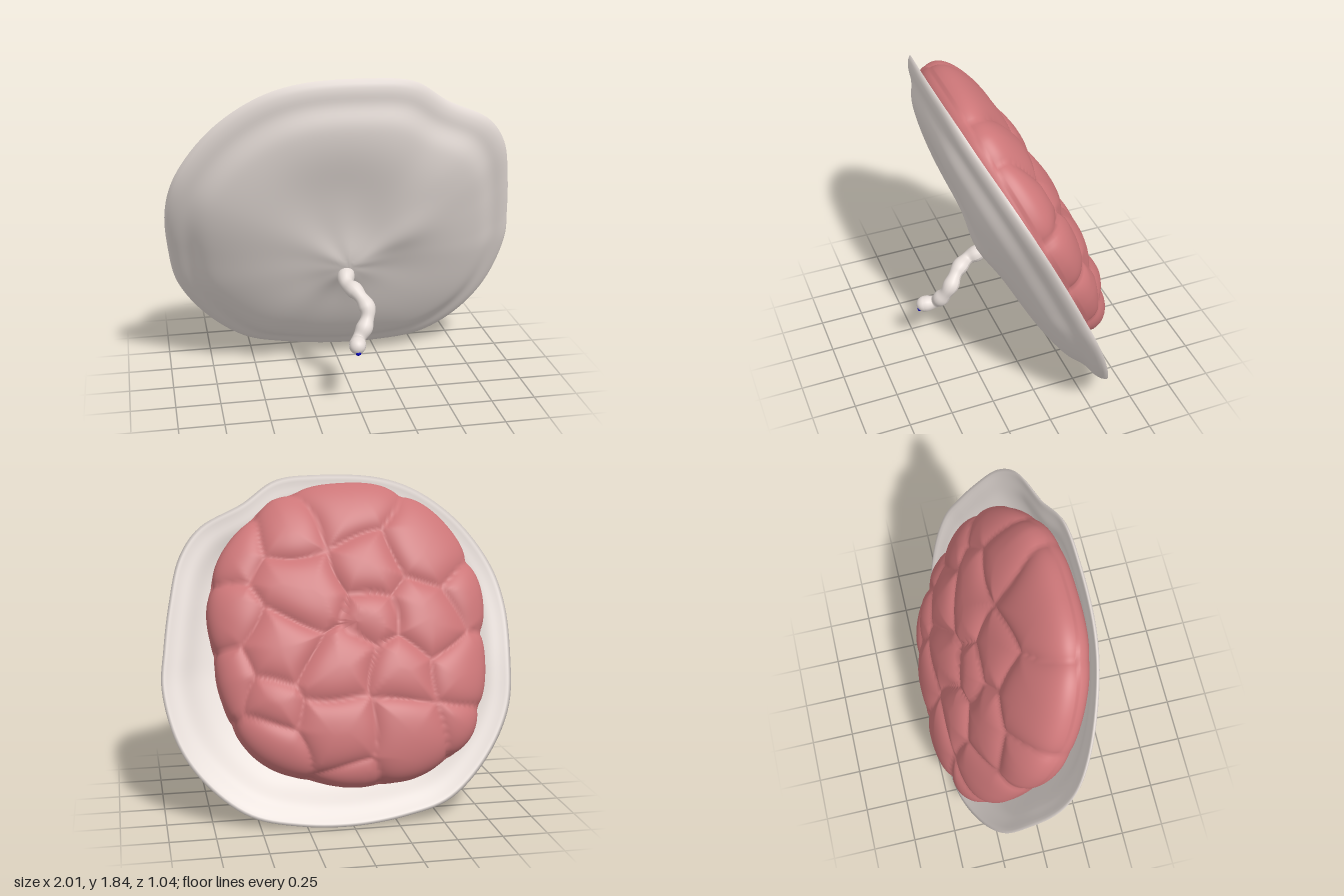
import * as THREE from 'three';

const TAU = Math.PI * 2;

// Surface of rings running from the front pole outward and round to the back pole
function ringSurface(rings, segs, point) {
  const pos = [], index = [];
  for (let j = 0; j <= rings; j++) {
    for (let i = 0; i < segs; i++) pos.push(...point(j / rings, i / segs));
  }
  for (let j = 0; j < rings; j++) {
    for (let i = 0; i < segs; i++) {
      const n = (i + 1) % segs;
      const a = j * segs + i, b = j * segs + n, c = a + segs, d = b + segs;
      index.push(a, c, d, a, d, b);
    }
  }
  const geo = new THREE.BufferGeometry();
  geo.setAttribute('position', new THREE.Float32BufferAttribute(pos, 3));
  geo.setIndex(index);
  geo.computeVertexNormals();
  return geo;
}

function part(name, geo, material) {
  const mesh = new THREE.Mesh(geo, material);
  mesh.name = name;
  return mesh;
}

// Smooth bump around a direction, 1 at its middle
const bump = (a, middle, sharp) => Math.exp(sharp * (Math.cos(a - middle) - 1));

// Outline of the membrane rim, counter-clockwise from the model's left
const RIM = new THREE.CatmullRomCurve3([
  [0.98, 0.0], [0.94, 0.25], [0.87, 0.52], [0.75, 0.69], [0.5, 0.83], [0.3, 0.97],
  [0.05, 1.0], [-0.3, 0.98], [-0.52, 0.9], [-0.76, 0.71], [-0.94, 0.44], [-1, 0.2],
  [-0.99, -0.13], [-0.94, -0.42], [-0.78, -0.7], [-0.55, -0.91], [-0.3, -0.985],
  [0, -1.02], [0.3, -1.0], [0.56, -0.93], [0.79, -0.74], [0.93, -0.52], [1, -0.22],
].map(([x, y]) => new THREE.Vector3(x, y, 0)), true);

// Thin dish: domed front, hollow back, softly rolled rim
function membranePoint(s, u) {
  const back = s > 0.5;
  const t = Math.min(1, back ? (1 - s) * 2 : s * 2);
  const rim = RIM.getPoint(u);
  const x = rim.x * t, y = rim.y * t, a = Math.atan2(rim.y, rim.x);
  let z = 0.2 * (1 - t ** 3.5);
  // flange near the rim, whose edge waves forward and backward
  z -= 0.02 * Math.exp(-(((t - 0.88) / 0.06) ** 2));
  z -= t ** 4 * (0.04 * Math.cos(a) ** 2 + 0.02 * Math.max(0, -Math.sin(a)));
  z += t ** 4 * (0.06 * bump(a, -0.85, 8) + 0.055 * bump(a, 2.85, 8));
  // hollow above the cord, a ridge beside it, cone and creases around it
  z -= 0.045 * Math.exp(-((x + 0.1) ** 2 + (y - 0.38) ** 2) / 0.1);
  const dy = y + 0.1, d = Math.hypot(x, dy), b = Math.atan2(dy, x);
  z += 0.04 * Math.exp(-d * d / 0.03);
  z += 0.03 * Math.exp(-(((b - 0.6) / 0.3) ** 2) - (((d - 0.35) / 0.22) ** 2));
  z += 0.03 * d * Math.exp(-d / 0.25) * (Math.sin(5 * b + 0.8) + 0.6 * Math.sin(8 * b));
  const half = 0.016 * Math.sqrt(Math.max(0, 1 - t ** 30));
  return [x, y, z + (back ? -half : half)];
}

// Lobes on the back: centre x, centre y, size
const CELLS = [
  [-0.52, 0.52, 0.05], [-0.06, 0.76, 0.04], [0.27, 0.6, 0], [-0.17, 0.36, 0], [0.6, 0.48, 0.02],
  [0.24, 0.27, 0.05], [-0.46, 0.08, 0.03], [-0.12, 0.06, -0.03], [0.66, 0.12, 0.02],
  [0.38, -0.05, 0.04], [0.06, -0.18, 0.03], [-0.3, -0.24, 0], [0.66, -0.24, 0],
  [0.4, -0.36, -0.02], [0.1, -0.52, 0.05], [0.45, -0.64, 0.02], [-0.3, -0.6, 0.05],
  [-0.74, 0.2, 0], [-0.68, -0.2, 0.02], [-0.62, -0.55, -0.02], [0.08, -0.84, 0],
];

// Domed within each cell, with a groove where two cells meet
function lobeRelief(x, y) {
  const px = x + 0.03 * Math.sin(9 * y + 1), py = y + 0.03 * Math.sin(8 * x);
  let near = 9, next = 9;
  for (const [cx, cy, size] of CELLS) {
    const d = Math.hypot(px - cx, py - cy) - size;
    if (d < near) { next = near; near = d; } else if (d < next) next = d;
  }
  return 0.055 * (1 - Math.exp(-(next - near) / 0.11)) - 0.035;
}

function lobePoint(s, u) {
  const phi = s * Math.PI, a = u * TAU, c = Math.cos(phi), sn = Math.abs(Math.sin(phi));
  const r = sn < 1e-6 ? 0 : sn ** 0.8;
  // outline of the whole lobed mass: rounder at the top, squarer at the bottom
  const ca = Math.cos(a), sa = Math.sin(a), p = 2.4 - 0.3 * sa;
  const R = (Math.abs(ca) ** p + Math.abs(sa) ** p) ** (-1 / p) *
    (1 + 0.01 * Math.sin(3 * a + 1) + 0.01 * Math.sin(7 * a));
  const x = 0.775 * R * r * ca, y = 0.86 * R * r * sa;
  const k = lobeRelief(x - 0.055, y + 0.06);
  const grow = 1 + k * r ** 3 * (c > 0 ? 0.3 : 0.8);
  const depth = Math.abs(c) ** 0.74;
  const z = c > 0
    ? 0.18 * depth - 0.05
    : -0.05 - (0.24 - 0.03 * y) * depth - k * depth;
  return [x * grow - 0.055, y * grow + 0.06, z];
}

// Twisted cord whose thickness swells and narrows along its length
function cordGeometry(path) {
  const rings = 80, sides = 16;
  const geo = new THREE.TubeGeometry(path, rings, 0.042, sides);
  const pos = geo.attributes.position, v = new THREE.Vector3();
  for (let i = 0; i <= rings; i++) {
    const centre = path.getPointAt(i / rings);
    const k = 1 + 0.12 * Math.sin(i * 0.42) + 0.35 * Math.exp(-i / 8);
    for (let j = 0; j <= sides; j++) {
      const n = i * (sides + 1) + j;
      v.fromBufferAttribute(pos, n).sub(centre).multiplyScalar(k).add(centre);
      pos.setXYZ(n, v.x, v.y, v.z);
    }
  }
  geo.computeVertexNormals();
  return geo;
}

export function createModel() {
  const pale = new THREE.MeshStandardMaterial({ color: 0xe6ddd8, side: THREE.DoubleSide });
  const red = new THREE.MeshStandardMaterial({ color: 0xcc7678 });
  const blue = new THREE.MeshStandardMaterial({ color: 0x0000c0 });
  const model = new THREE.Group();
  model.name = 'placenta';

  // Tilted disc: membrane in front, lobes behind
  const disc = new THREE.Group();
  disc.name = 'disc';
  disc.rotation.x = 0.425;
  disc.position.set(0, 0.92, -0.03);
  disc.add(part('membrane', ringSurface(120, 160, membranePoint), pale));
  disc.add(part('lobes', ringSurface(150, 240, lobePoint), red));
  model.add(disc);

  // Cord hanging from the front
  const path = new THREE.CatmullRomCurve3([
    [-0.01, 0.74, 0.02], [-0.01, 0.69, 0.11], [-0.025, 0.645, 0.2], [0.02, 0.615, 0.28],
    [0.065, 0.54, 0.345], [0.045, 0.465, 0.385], [0, 0.4, 0.42], [-0.018, 0.387, 0.48],
  ].map((p) => new THREE.Vector3(...p)));
  model.add(part('cord', cordGeometry(path), pale));
  const end = part('cordEnd', new THREE.SphereGeometry(0.045, 20, 14), pale);
  end.position.copy(path.getPoint(1));
  model.add(end);

  // Small vessel at the cut end
  const vessel = part('vessel', new THREE.SphereGeometry(0.016, 14, 10), blue);
  vessel.position.set(-0.018, 0.358, 0.505);
  model.add(vessel);
  return model;
}
